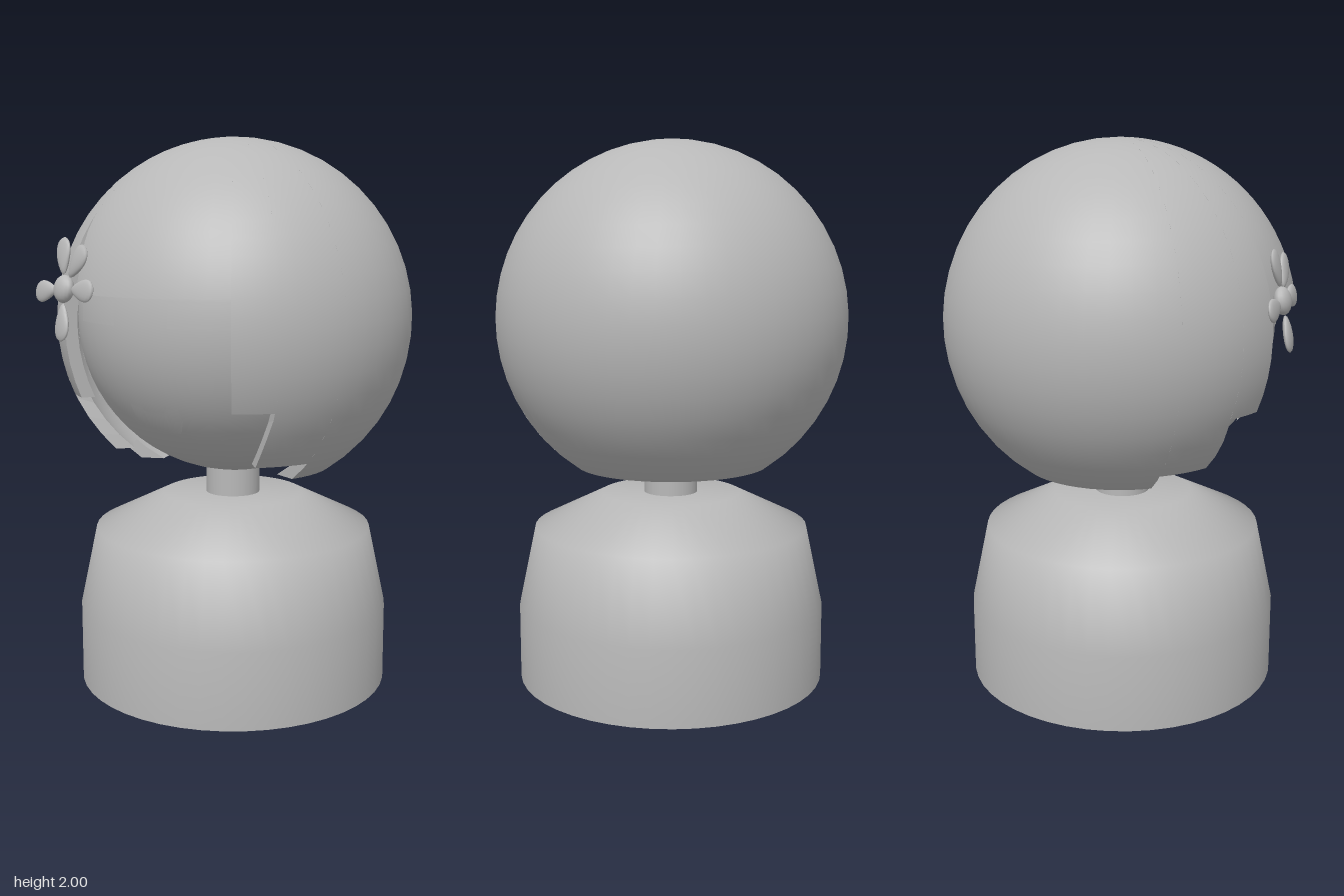
import * as THREE from 'three';

const grey = new THREE.MeshStandardMaterial({ color: 0xb8b8b8, side: THREE.DoubleSide });
grey.name = 'plain grey';
const DEG = Math.PI / 180;
const HAIR_Y = 1.35, HAIR_R = 0.65, HAIR_IN = 0.605;
const FACE_Y = 1.365, FACE_R = 0.575;

function add(parent, name, geometry, x = 0, y = 0, z = 0) {
  const mesh = new THREE.Mesh(geometry, grey);
  mesh.name = name;
  mesh.position.set(x, y, z);
  parent.add(mesh);
  return mesh;
}

// Thick sector of the hair shell between two azimuths (0 = front), cut level at height cutY.
// slant0 / slant1 swing the lower part of either edge (degrees); fringe pulls the sides inward.
function hairSector(a0, a1, cutY, { slant0 = 0, slant1 = 0, fringe = false } = {}) {
  const rows = 20, cols = Math.max(4, Math.round((a1 - a0) / 7));
  const pos = [], nor = [];
  const centre = new THREE.Vector3(0, HAIR_Y, 0);
  const point = (i, j, outer) => {
    const base = outer ? HAIR_R : HAIR_IN;
    const phi = (Math.acos((cutY - HAIR_Y) / base) * j) / rows;
    const y = HAIR_Y + base * Math.cos(phi);
    const low = Math.max(0, (1.09 - y) / 0.21);
    const az = THREE.MathUtils.lerp(a0 + slant0 * low, a1 + slant1 * low, i / cols);
    let r = base * Math.sin(phi);
    if (fringe && outer) r *= 1 - 0.05 * (az / 32) ** 2 * (1 - THREE.MathUtils.smoothstep(y, 1.5, 1.75));
    return new THREE.Vector3(r * Math.sin(az * DEG), y, r * Math.cos(az * DEG));
  };
  const quad = (a, b, c, d, radial = 0) => {
    const flat = c.clone().sub(a).cross(d.clone().sub(b)).normalize();
    for (const v of [a, b, c, a, c, d]) {
      const n = radial ? v.clone().sub(centre).normalize().multiplyScalar(radial) : flat;
      pos.push(v.x, v.y, v.z);
      nor.push(n.x, n.y, n.z);
    }
  };
  for (let i = 0; i < cols; i++) {
    for (let j = 0; j < rows; j++) {
      const o = [point(i, j, true), point(i, j + 1, true), point(i + 1, j + 1, true), point(i + 1, j, true)];
      const n = [point(i, j, false), point(i, j + 1, false), point(i + 1, j + 1, false), point(i + 1, j, false)];
      quad(o[0], o[1], o[2], o[3], 1);
      quad(n[3], n[2], n[1], n[0], -1);
      if (i === 0) quad(o[0], n[0], n[1], o[1]);
      if (i === cols - 1) quad(o[3], o[2], n[2], n[3]);
      if (j === rows - 1) quad(o[1], n[1], n[2], o[2]);
    }
  }
  const g = new THREE.BufferGeometry();
  g.setAttribute('position', new THREE.Float32BufferAttribute(pos, 3));
  g.setAttribute('normal', new THREE.Float32BufferAttribute(nor, 3));
  return g;
}

// Thin patch lying just above the face; edges(x) gives its bottom and top heights
function facePatch(x0, x1, edges) {
  const g = new THREE.PlaneGeometry(1, 1, 24, 6);
  const p = g.attributes.position;
  for (let i = 0; i < p.count; i++) {
    const x = THREE.MathUtils.lerp(x0, x1, p.getX(i) + 0.5);
    const [bottom, top] = edges(x);
    const y = THREE.MathUtils.lerp(bottom, top, p.getY(i) + 0.5);
    p.setXYZ(i, x, y, Math.sqrt((FACE_R + 0.007) ** 2 - x * x - (y - FACE_Y) ** 2));
  }
  g.computeVertexNormals();
  return g;
}

// Flattened teardrop pointing outward along +x
function petalGeometry() {
  const g = new THREE.SphereGeometry(1, 16, 12);
  const p = g.attributes.position;
  for (let i = 0; i < p.count; i++) {
    const x = p.getX(i);
    p.setXYZ(i, 0.115 + x * 0.065, p.getY(i) * 0.042 * (0.85 + 0.35 * x), p.getZ(i) * 0.014);
  }
  g.computeVertexNormals();
  return g;
}

export function createModel() {
  const model = new THREE.Group();
  model.name = 'doll';

  // Body and neck
  const profile = [[0, 0], [0.575, 0], [0.575, 0], [0.575, 0.28], [0.512, 0.577], [0.26, 0.7], [0, 0.7]];
  add(model, 'body', new THREE.LatheGeometry(profile.map(([x, y]) => new THREE.Vector2(x, y)), 48), 0, 0, 0.01);
  add(model, 'neck', new THREE.CylinderGeometry(0.1, 0.1, 0.2, 32), 0, 0.78, 0.01);

  // Head with face details
  const head = new THREE.Group();
  head.name = 'head';
  head.scale.z = 0.985;
  model.add(head);
  add(head, 'face', new THREE.SphereGeometry(FACE_R, 48, 32), 0, FACE_Y, 0);
  for (const [side, s] of [['left', 1], ['right', -1]]) {
    const [x0, x1] = s > 0 ? [0.11, 0.315] : [-0.315, -0.11];
    add(head, side + 'Eye', facePatch(x0, x1, () => [1.36, 1.45]));
  }
  add(head, 'mouth', facePatch(-0.1, 0.1, (x) => {
    const a = Math.abs(x);
    return [a > 0.07 ? 0.99 + (a - 0.07) * 1.7 : 0.99, a > 0.05 ? 1.09 : 1.068];
  }));

  // Hair: fringe, stepped side locks, back
  add(head, 'fringe', hairSector(-32, 32, 1.46, { fringe: true }));
  add(head, 'leftFrontLock', hairSector(32, 46, 1.09));
  add(head, 'rightFrontLock', hairSector(-46, -32, 1.09));
  add(head, 'leftSideLock', hairSector(46, 67, 0.88, { slant0: -4 }));
  add(head, 'rightSideLock', hairSector(-67, -46, 0.88, { slant1: 4 }));
  add(head, 'backHair', hairSector(67, 293, 0.81));

  // Flower hair clip
  const flower = new THREE.Group();
  flower.name = 'flower';
  flower.position.set(-0.32, 1.475, 0.572);
  flower.rotation.set(-0.17, -0.29, 0);
  model.add(flower);
  const centre = add(flower, 'flowerCentre', new THREE.SphereGeometry(0.048, 16, 12));
  centre.scale.z = 0.6;
  const petal = petalGeometry();
  for (const angle of [100, 52, -3, -86, 183]) {
    add(flower, 'petal', petal).rotation.z = angle * DEG;
  }
  return model;
}
